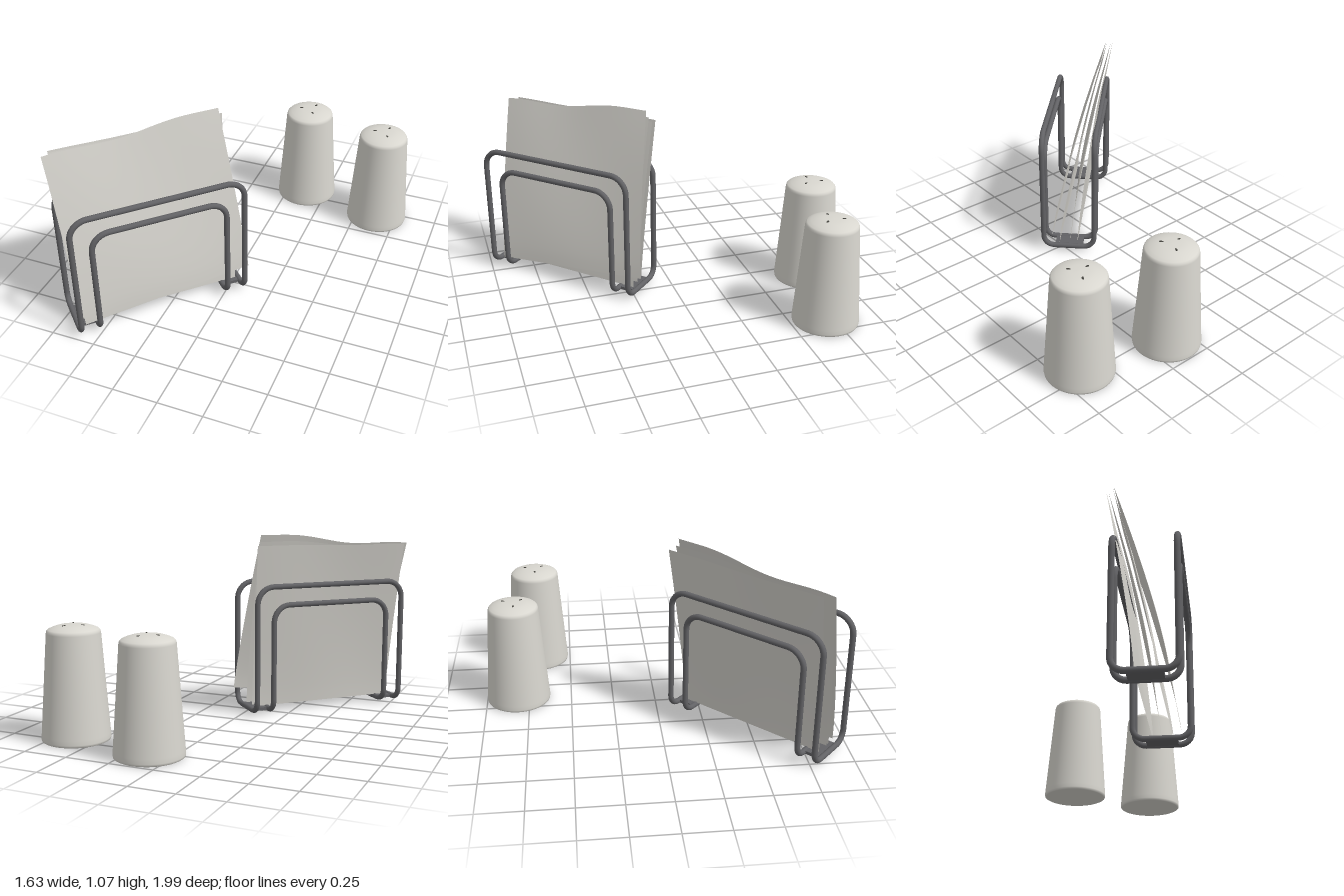
import * as THREE from 'three';

const wireMat = new THREE.MeshStandardMaterial({ color: 0x626265 });
wireMat.name = 'dark wire';
const paperMat = new THREE.MeshStandardMaterial({ color: 0xd2d0ca, side: THREE.DoubleSide });
paperMat.name = 'paper';
const ceramicMat = new THREE.MeshStandardMaterial({ color: 0xd8d6cf });
ceramicMat.name = 'ceramic';
const holeMat = new THREE.MeshStandardMaterial({ color: 0x45443f });
holeMat.name = 'hole';

const V = (x, y, z) => new THREE.Vector3(x, y, z);

function add(parent, name, geometry, material, x = 0, y = 0, z = 0) {
  const mesh = new THREE.Mesh(geometry, material);
  mesh.name = name;
  mesh.position.set(x, y, z);
  parent.add(mesh);
  return mesh;
}

// Closed path through corner points, each corner rounded
function roundedLoop(corners, radii) {
  const path = new THREE.CurvePath();
  const n = corners.length;
  const cut = corners.map((p, i) => {
    const toward = (q) => p.clone().add(q.clone().sub(p).setLength(radii[i]));
    return [toward(corners[(i + n - 1) % n]), toward(corners[(i + 1) % n])];
  });
  corners.forEach((p, i) => {
    const [a, b] = cut[i];
    // circular arc approximated by a cubic
    path.add(new THREE.CubicBezierCurve3(a, a.clone().lerp(p, 0.55), b.clone().lerp(p, 0.55), b));
    path.add(new THREE.LineCurve3(b, cut[(i + 1) % n][0]));
  });
  return path;
}

// One bent wire: front arch, base rails and back arch
function wireLoop(w, h) {
  const d = 0.155, y = 0.029, t = 0.1, b = 0.065;
  const path = roundedLoop([
    V(-w, y, d), V(-w, h, d), V(w, h, d), V(w, y, d),
    V(w, y, -d), V(w, h, -d), V(-w, h, -d), V(-w, y, -d),
  ], [b, t, t, b, b, t, t, b]);
  return new THREE.TubeGeometry(path, 320, 0.016, 12, true);
}

// Curved paper sheet spanned by four corners
function sheet(bl, br, tr, tl, wave) {
  const geo = new THREE.PlaneGeometry(1, 1, 20, 20);
  const pos = geo.attributes.position;
  for (let i = 0; i < pos.count; i++) {
    const s = pos.getX(i) + 0.5, v = pos.getY(i) + 0.5;
    const p = bl.clone().lerp(br, s).lerp(tl.clone().lerp(tr, s), v);
    const low = THREE.MathUtils.lerp(bl.z, br.z, s), high = THREE.MathUtils.lerp(tl.z, tr.z, s);
    p.z = THREE.MathUtils.lerp(low, high, Math.pow(v, 1.25));
    p.z += 0.008 * Math.sin(s * Math.PI * 2) * Math.sin(v * Math.PI);
    p.y -= wave * v * v * Math.sin(s * Math.PI * 2 - 0.7) * Math.sin(s * Math.PI);
    pos.setXYZ(i, p.x, p.y, p.z);
  }
  // wave lifts the right end of the top edge
  geo.computeVertexNormals();
  return geo;
}

function createHolder() {
  const g = new THREE.Group();
  g.name = 'napkinHolder';
  add(g, 'outerWire', wireLoop(0.48, 0.77), wireMat);
  add(g, 'innerWire', wireLoop(0.375, 0.66), wireMat);
  for (const side of [-1, 1]) {
    add(g, 'basePlate', new THREE.BoxGeometry(0.11, 0.018, 0.17), wireMat, side * 0.428, 0.029, 0);
  }
  // two folded napkins, each with a front and a rear leaf
  add(g, 'frontNapkinFrontLeaf', sheet(
    V(-0.445, 0.045, 0.106), V(0.53, 0.13, 0.095), V(0.453, 1.07, -0.134), V(-0.513, 1.0, -0.145), 0.02), paperMat);
  add(g, 'frontNapkinRearLeaf', sheet(
    V(-0.45, 0.04, 0.05), V(0.46, 0.04, 0.06), V(0.465, 1.03, -0.142), V(-0.51, 0.995, -0.15), 0.015), paperMat);
  add(g, 'backNapkinFrontLeaf', sheet(
    V(-0.45, 0.04, 0.03), V(0.45, 0.04, -0.005), V(0.475, 1.0, -0.163), V(-0.47, 0.995, -0.175), 0.004), paperMat);
  add(g, 'backNapkinRearLeaf', sheet(
    V(-0.45, 0.04, -0.05), V(0.45, 0.04, -0.05), V(0.49, 1.01, -0.173), V(-0.47, 1.0, -0.187), 0.004), paperMat);
  return g;
}

function createShaker() {
  const g = new THREE.Group();
  g.name = 'shaker';
  const profile = [
    [0, 0], [0.178, 0], [0.185, 0.004], [0.187, 0.015], [0.185, 0.04], [0.165, 0.31], [0.145, 0.585],
    [0.142, 0.597], [0.135, 0.605], [0.115, 0.614], [0.085, 0.624], [0.05, 0.629], [0, 0.63],
  ].map(([r, y]) => new THREE.Vector2(r, y));
  add(g, 'shakerBody', new THREE.LatheGeometry(profile, 48), ceramicMat);
  // three pouring holes
  for (const [x, z, turn] of [[0.022, -0.055, 1.1], [-0.055, 0.005, 0], [0.03, 0.045, -0.9]]) {
    const hole = add(g, 'pouringHole', new THREE.CylinderGeometry(0.011, 0.011, 0.006, 12), holeMat, x, 0.6265, z);
    hole.scale.z = 0.5;
    hole.rotation.y = turn;
  }
  return g;
}

export function createModel() {
  const model = new THREE.Group();
  model.name = 'tableSet';

  const holder = createHolder();
  holder.position.set(-0.345, 0, 0.53);
  holder.rotation.y = Math.PI / 4;
  model.add(holder);

  for (const [x, z] of [[0.12, -0.813], [0.628, -0.7]]) {
    const shaker = createShaker();
    shaker.position.set(x, 0, z);
    model.add(shaker);
  }
  return model;
}
